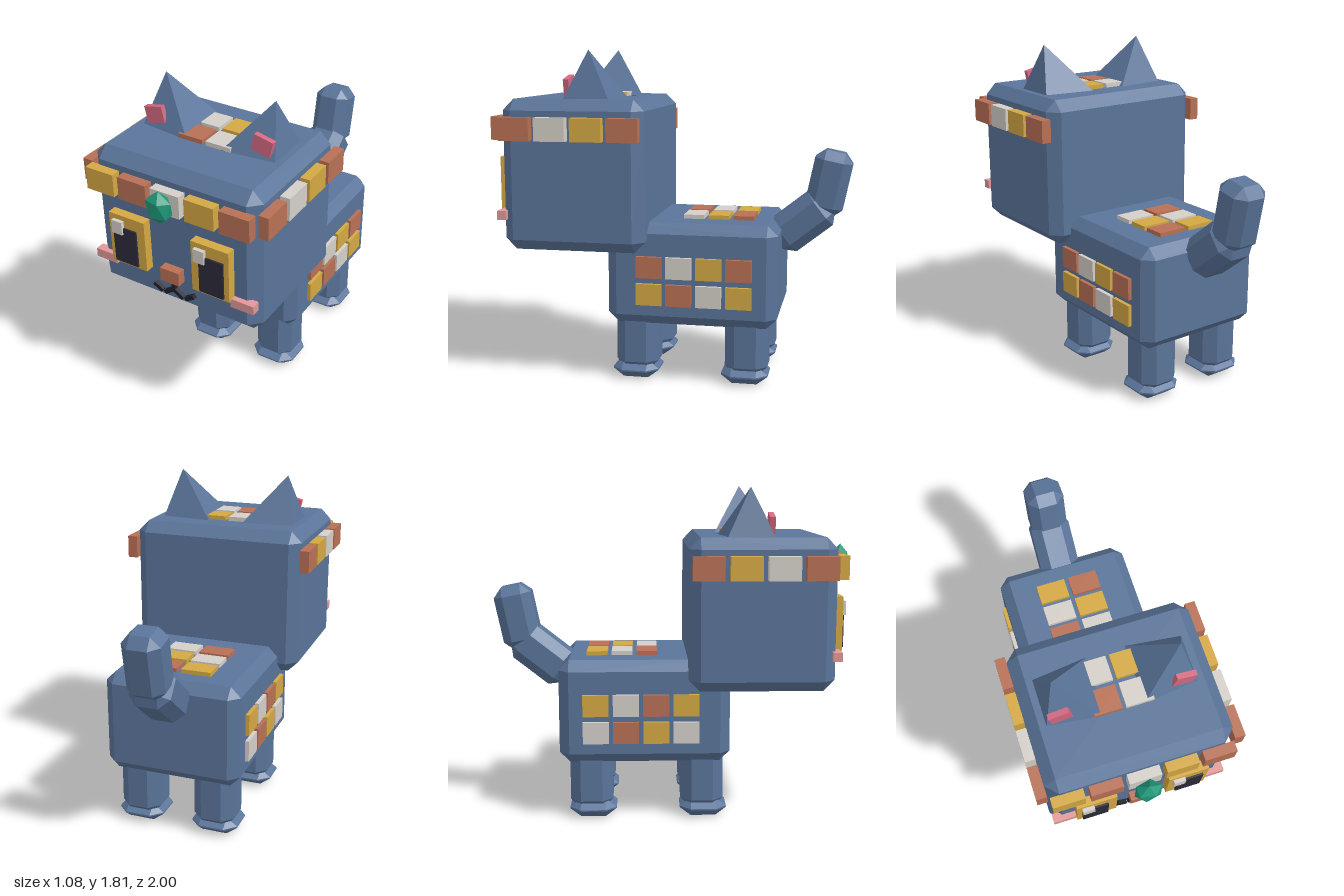
import * as THREE from 'three';
import { ConvexGeometry } from 'three/addons/geometries/ConvexGeometry.js';

const paint = (name, color, flat = false) =>
  Object.assign(new THREE.MeshStandardMaterial({ color, flatShading: flat }), { name });

// Box with all edges cut off: c is the cut sideways, cv the cut vertically
function chamferBox(w, h, d, c, cv = c) {
  const pts = [];
  for (const sx of [-1, 1]) for (const sy of [-1, 1]) for (const sz of [-1, 1]) {
    const x = w / 2, y = h / 2, z = d / 2;
    pts.push(
      new THREE.Vector3(sx * x, sy * (y - cv), sz * (z - c)),
      new THREE.Vector3(sx * (x - c), sy * y, sz * (z - c)),
      new THREE.Vector3(sx * (x - c), sy * (y - cv), sz * z));
  }
  return new ConvexGeometry(pts);
}

export function createModel() {
  const root = new THREE.Group();
  root.name = 'blockCat';
  const fur = paint('blueFur', 0x5a7499, true);
  const gold = paint('goldTile', 0xd4a843);
  const terra = paint('terracottaTile', 0xb87055);
  const white = paint('whiteTile', 0xd4cfc8);
  const dark = paint('pupilDark', 0x2b2a3a);
  const ink = paint('mouthDark', 0x20202c);
  const blush = paint('cheekPink', 0xe09898);
  const rose = paint('earPink', 0xd46a82);
  const green = paint('gemGreen', 0x1f9678, true);

  function add(name, geometry, material, x, y, z, parent = root) {
    const m = new THREE.Mesh(geometry, material);
    m.name = name;
    m.position.set(x, y, z);
    parent.add(m);
    return m;
  }
  const box = (name, material, w, h, d, x, y, z) =>
    add(name, new THREE.BoxGeometry(w, h, d), material, x, y, z);

  // Head and body
  add('head', chamferBox(0.974, 0.818, 0.78, 0.06), fur, 0, 1.146, 0.47);
  add('body', chamferBox(0.76, 0.565, 0.93, 0.056), fur, 0, 0.61, -0.155);

  // Legs and feet
  for (const sx of [-1, 1]) for (const z of [0.16, -0.45]) {
    add('leg', chamferBox(0.23, 0.37, 0.235, 0.058), fur, sx * 0.215, 0.225, z);
    add('foot', chamferBox(0.26, 0.1, 0.258, 0.06, 0.046), fur, sx * 0.217, 0.05, z + 0.008);
  }

  // Tail in two bent segments
  add('tailBase', chamferBox(0.23, 0.36, 0.225, 0.056), fur, 0, 0.873, -0.728).rotation.x = -0.9;
  add('tailTip', chamferBox(0.21, 0.36, 0.21, 0.052), fur, 0, 1.09, -0.868).rotation.x = -0.2;

  // Ears lean outwards, with a pink plate on the front
  for (const sx of [-1, 1]) {
    const ear = new THREE.ConeGeometry(0.222, 0.3, 4).rotateY(Math.PI / 4);
    add('ear', ear, fur, sx * 0.289, 1.668, 0.41).rotation.z = -sx * 0.222;
    box('innerEar', rose, 0.108, 0.09, 0.03, sx * 0.317, 1.625, 0.522).rotation.z = -sx * 0.22;
  }

  // Headband bricks on the front and both sides
  [gold, terra, white, gold, terra].forEach((m, i) =>
    box('headbandFront', m, 0.168, 0.125, 0.055, (i - 2) * 0.196, 1.4, 0.885));
  [terra, white, gold, terra].forEach((m, i) => {
    for (const sx of [-1, 1])
      box('headbandSide', m, 0.055, 0.125, 0.168, sx * 0.514, 1.4, 0.765 - i * 0.196);
  });

  // Forehead gem, one point up
  add('gem', new THREE.IcosahedronGeometry(1).rotateZ(-0.5536).scale(0.079, 0.09, 0.053),
    green, 0, 1.404, 0.957);

  // Tiles on top of the head
  [[white, gold], [terra, white]].forEach((row, r) => row.forEach((m, c) =>
    box('headTile', m, 0.145, 0.03, 0.13, (c - 0.5) * 0.164, 1.564, 0.345 + r * 0.155)));

  // Tiles on the back
  [[gold, terra], [white, gold], [terra, white]].forEach((row, r) => row.forEach((m, c) =>
    box('backTile', m, 0.168, 0.03, 0.114, (c - 0.5) * 0.192, 0.9, -0.417 + r * 0.138)));

  // Tiles on the flanks, cycling through three colours
  const cycle = [terra, white, gold];
  for (const sx of [-1, 1]) for (let r = 0; r < 2; r++) for (let i = 0; i < 4; i++) {
    const shift = r * 2 + (sx < 0 ? 2 : 0);
    box('flankTile', cycle[(i + shift) % 3], 0.03, 0.118, 0.14,
      sx * 0.386, 0.654 - r * 0.15, 0.07 - i * 0.163);
  }

  // Eyes: frame, pupil and glint (glints sit on the same side of both)
  for (const sx of [-1, 1]) {
    box('eyeFrame', gold, 0.217, 0.293, 0.055, sx * 0.248, 1.089, 0.882);
    box('pupil', dark, 0.14, 0.211, 0.03, sx * 0.258, 1.062, 0.905);
    box('eyeGlint', white, 0.063, 0.075, 0.03, sx * 0.246 - 0.051, 1.17, 0.915);
    box('cheek', blush, 0.132, 0.05, 0.05, sx * 0.415, 0.928, 0.865);
  }

  // Nose and mouth
  box('nose', terra, 0.112, 0.078, 0.055, 0, 0.962, 0.882);
  box('mouthStem', ink, 0.022, 0.085, 0.03, 0, 0.893, 0.869);
  for (const sx of [-1, 1]) {
    box('mouthInner', ink, 0.068, 0.022, 0.03, sx * 0.028, 0.846, 0.869).rotation.z = -sx * 0.6;
    box('mouthOuter', ink, 0.06, 0.023, 0.03, sx * 0.096, 0.846, 0.869).rotation.z = sx * 0.55;
  }
  return root;
}
